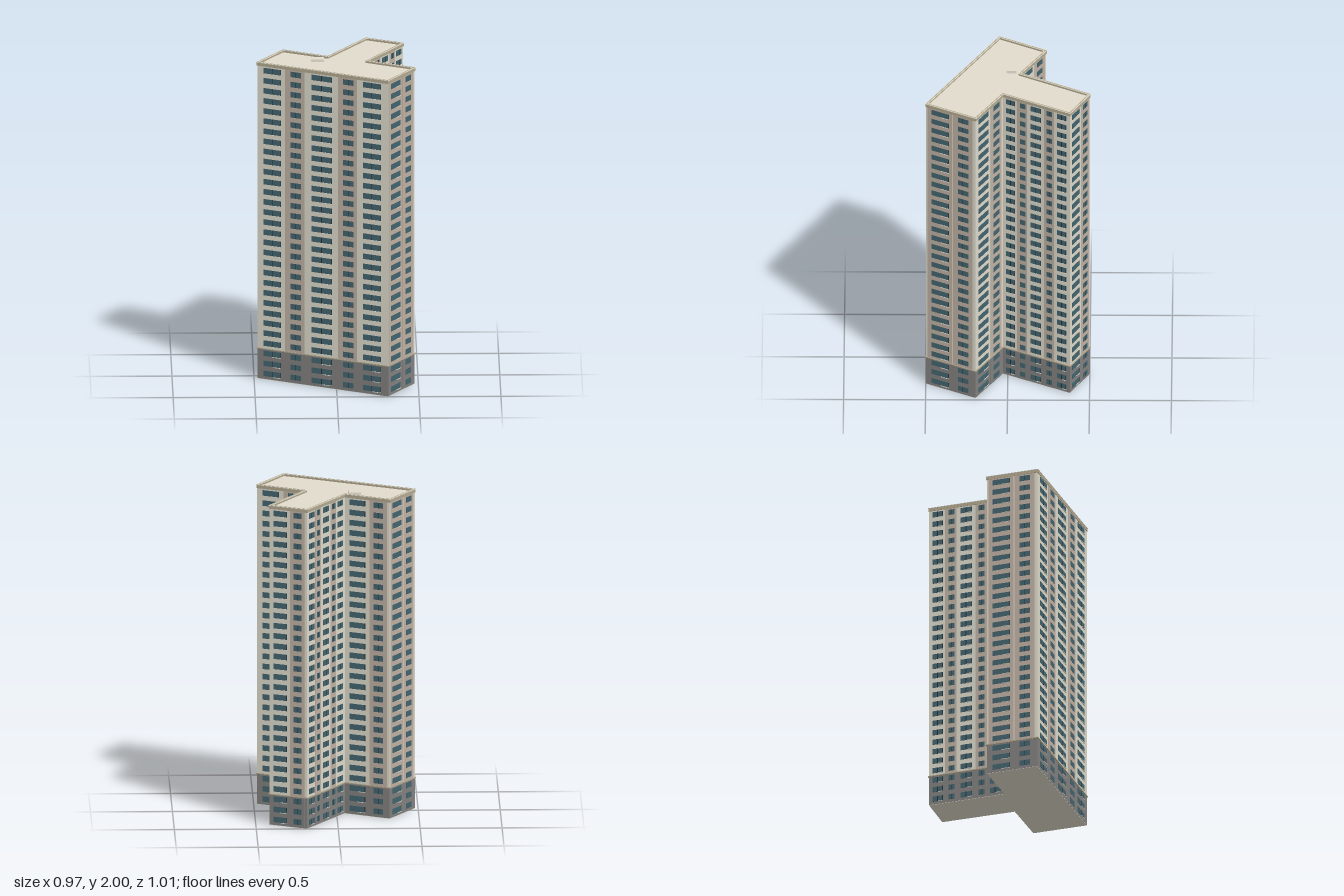
import * as THREE from 'three';
import { mergeGeometries } from 'three/addons/utils/BufferGeometryUtils.js';

const material = (name, color) => {
  const m = new THREE.MeshStandardMaterial({ color });
  m.name = name;
  return m;
};

// Footprint corners as [x, z]
const CORNERS = [
  [-0.48, 0.055], [0.31, 0.497], [0.478, 0.195], [0.19, 0.03],
  [0.415, -0.38], [0.19, -0.5], [-0.05, -0.075], [-0.32, -0.23],
];
const TOP = 2, ROOF = 1.985, BASE = 0.19, FLOORS = 31, STEP = 0.0638, FIRST = 0.037;

// Window and panel spans as fractions of the wall's length
const LONG = {
  windows: [[0.05, 0.182], [0.256, 0.337], [0.418, 0.571], [0.658, 0.738], [0.811, 0.946]],
  panels: [[0.215, 0.363], [0.618, 0.765]],
};
const SHORT = { windows: [[0.11, 0.46], [0.645, 0.855]], panels: [[0.55, 0.94]] };
// Gable ends are clad almost fully in panels
const GABLE = { windows: SHORT.windows, panels: [[0.03, 0.53], [0.55, 0.94]] };
const LAYOUTS = [LONG, GABLE, SHORT, LONG, SHORT, LONG, SHORT, GABLE];

// Footprint pushed outwards by d, with mitred corners
function outline(d) {
  const n = CORNERS.length;
  const normal = (i) => {
    const p = CORNERS[i % n], q = CORNERS[(i + 1) % n];
    return new THREE.Vector2(p[1] - q[1], q[0] - p[0]).normalize();
  };
  return CORNERS.map(([x, z], i) => {
    const a = normal(i + n - 1), b = normal(i);
    const k = d / (1 + a.dot(b));
    return new THREE.Vector2(x + (a.x + b.x) * k, -(z + (a.y + b.y) * k));
  });
}

// Vertical slab of the footprint, optionally hollow
function slab(y0, y1, grow, holeGrow) {
  const shape = new THREE.Shape(outline(grow));
  if (holeGrow !== undefined) shape.holes.push(new THREE.Path(outline(holeGrow)));
  const g = new THREE.ExtrudeGeometry(shape, { depth: y1 - y0, bevelEnabled: false });
  return g.rotateX(-Math.PI / 2).translate(0, y0, 0);
}

export function createModel() {
  const group = new THREE.Group();
  const wall = material('cream wall', 0xe0dccd);
  const panel = material('taupe panel', 0xc2b3a5);
  const stone = material('grey base', 0x848280);
  const glass = material('blue glass', 0x44656f);
  const frame = material('dark frame', 0x263238);
  const trim = material('tan trim', 0xb5ab90);
  const roof = material('roof', 0xe2dccd);

  const add = (name, geometry, mat) => {
    const mesh = new THREE.Mesh(geometry, mat);
    mesh.name = name;
    group.add(mesh);
  };

  // Main volumes
  add('floorSlab', slab(0, 0.002, 0), roof);
  add('base', slab(0.002, BASE, 0), stone);
  add('tower', slab(BASE, ROOF - 0.003, 0), wall);
  add('roofDeck', slab(ROOF - 0.003, ROOF, -0.002), roof);
  add('baseLedge', slab(BASE, BASE + 0.006, 0.006, -0.004), trim);
  add('parapet', slab(1.977, TOP - 0.004, 0.004, -0.008), trim);
  add('parapetCap', slab(TOP - 0.004, TOP - 0.001, 0.006, -0.01), roof);
  add('parapetStrip', slab(TOP - 0.001, TOP, 0.001, -0.005), trim);
  add('roofHatch', new THREE.BoxGeometry(0.078, 0.015, 0.06)
    .translate(-0.112, ROOF + 0.0075, -0.02), roof);

  // Facade details, gathered per kind and merged
  const parts = { panels: [], basePanels: [], panes: [], mullions: [], sills: [] };

  CORNERS.forEach((p, i) => {
    const q = CORNERS[(i + 1) % CORNERS.length];
    const dx = q[0] - p[0], dz = q[1] - p[1], length = Math.hypot(dx, dz);
    const toWall = new THREE.Matrix4()
      .makeRotationY(Math.atan2(-dz, dx)).setPosition(p[0], 0, p[1]);
    // Thin plate on this wall: s along the wall, y up, out = projection
    const plate = (list, s0, s1, y0, y1, out) => list.push(
      new THREE.BoxGeometry(s1 - s0, y1 - y0, out)
        .translate((s0 + s1) / 2, (y0 + y1) / 2, out / 2).applyMatrix4(toWall));

    const layout = LAYOUTS[i];
    for (const [a, b] of layout.panels) {
      plate(parts.panels, a * length, b * length, BASE, 1.977, 0.002);
      plate(parts.basePanels, a * length, b * length, 0.002, BASE, 0.0015);
    }
    layout.windows.forEach(([a, b], w) => {
      const s0 = a * length, s1 = b * length, mid = (s0 + s1) / 2;
      const wide = w % 2 === 0;
      // Broad mullions on the long walls, slim ones on narrow windows
      const half = wide && layout === LONG ? 0.003 : 0.0015;
      for (let f = 0; f < FLOORS; f++) {
        const y = FIRST + f * STEP, y0 = y - 0.017, y1 = y + 0.017;
        plate(parts.panes, s0, s1, y0, y1, 0.003);
        if (layout === LONG || !wide) {
          plate(parts.mullions, mid - half, mid + half, y0, y1, 0.0035);
        }
        if (wide) {
          plate(parts.mullions, s1 - 0.003, s1, y0, y1, 0.0035);
          plate(parts.sills, mid + 0.004, s1, y0 - 0.003, y0, 0.006);
        }
      }
    });
  });

  add('facadePanels', mergeGeometries(parts.panels), panel);
  add('basePanels', mergeGeometries(parts.basePanels), stone);
  add('windowPanes', mergeGeometries(parts.panes), glass);
  add('windowMullions', mergeGeometries(parts.mullions), frame);
  add('windowSills', mergeGeometries(parts.sills), wall);
  return group;
}
